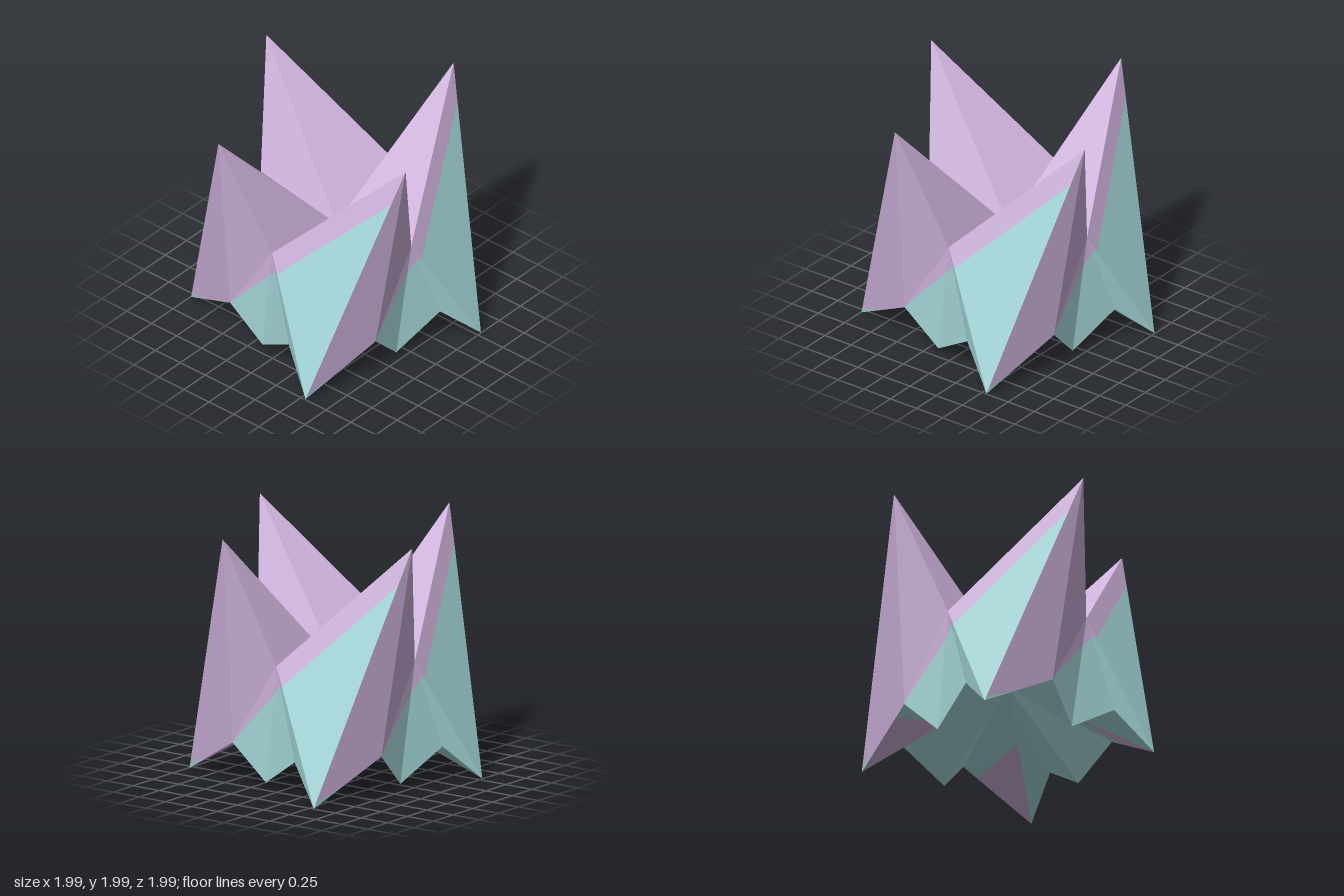
import * as THREE from 'three';

const lilac = new THREE.MeshStandardMaterial({ color: 0xcfb3dc });
lilac.name = 'lilac paper';
const aqua = new THREE.MeshStandardMaterial({ color: 0xa6d8da });
aqua.name = 'aqua paper';

const v = (x, y, z) => new THREE.Vector3(x, y, z);
const mix = (a, b, t) => a.clone().lerp(b, t);

// Flat facets: each polygon is a short counter-clockwise list of corners
function facets(name, material, polygons) {
  const points = [];
  for (const p of polygons) {
    for (let i = 1; i < p.length - 1; i++) points.push(p[0], p[i], p[i + 1]);
  }
  const geometry = new THREE.BufferGeometry().setFromPoints(points);
  geometry.computeVertexNormals();
  const mesh = new THREE.Mesh(geometry, material);
  mesh.name = name;
  return mesh;
}

// One quarter of the folded star
function createQuarter() {
  const top = v(0, 0.86, 0);             // sunken middle, upper side
  const under = v(0, 0.64, 0);           // hollow middle, lower side
  const notch = v(0, 0.995, 0.755);      // valley between two spires
  const nextNotch = v(0.755, 0.995, 0);
  const peak = v(0.988, 1.99, 0.34);
  const foot = v(0.54, 0, 0.995);
  const hem = v(0.755, 0.33, 0.42);
  const lastHem = v(-0.42, 0.33, 0.755);
  const smallFoot = v(-0.13, 0.05, 0.715);
  const pleat = v(0.24, 0.29, 0.84);

  // Points where the lilac border meets the aqua
  const b1 = mix(peak, foot, 0.145);
  const b2 = mix(notch, foot, 0.145);
  const b3 = mix(notch, pleat, 0.2);
  const b4 = mix(notch, smallFoot, 0.25);
  const b5 = mix(notch, lastHem, 0.96);
  const tipA = mix(peak, foot, 0.98);
  const tipB = mix(hem, foot, 0.6);
  const u1 = mix(hem, foot, 0.2);
  const u2 = mix(under, foot, 0.42);

  const quarter = new THREE.Group();
  quarter.add(
    facets('spireTop', lilac, [[top, notch, peak], [top, peak, nextNotch]]),
    facets('spireBorder', lilac, [[notch, b2, b1, peak]]),
    facets('spireFace', aqua, [[b2, foot, b1]]),
    facets('spireSide', lilac, [[peak, tipA, tipB, hem], [peak, hem, nextNotch]]),
    facets('footTip', aqua, [[tipA, foot, tipB]]),
    facets('skirtBorder', lilac, [[notch, b5, b4], [notch, b4, b3], [notch, b3, b2]]),
    facets('skirt', aqua, [
      [b5, lastHem, smallFoot, b4],
      [b4, smallFoot, pleat, b3],
      [b3, pleat, foot, b2],
    ]),
    facets('underside', aqua, [
      [under, smallFoot, lastHem],
      [under, pleat, smallFoot],
      [under, foot, pleat],
      [under, hem, u1, u2],
    ]),
    facets('undersideCorner', lilac, [[u2, u1, foot]]),
  );
  return quarter;
}

export function createModel() {
  const model = new THREE.Group();
  model.name = 'foldedPaperStar';
  for (let i = 0; i < 4; i++) {
    const quarter = createQuarter();
    quarter.name = 'starQuarter' + (i + 1);
    quarter.rotation.y = (i * Math.PI) / 2;
    model.add(quarter);
  }
  return model;
}
